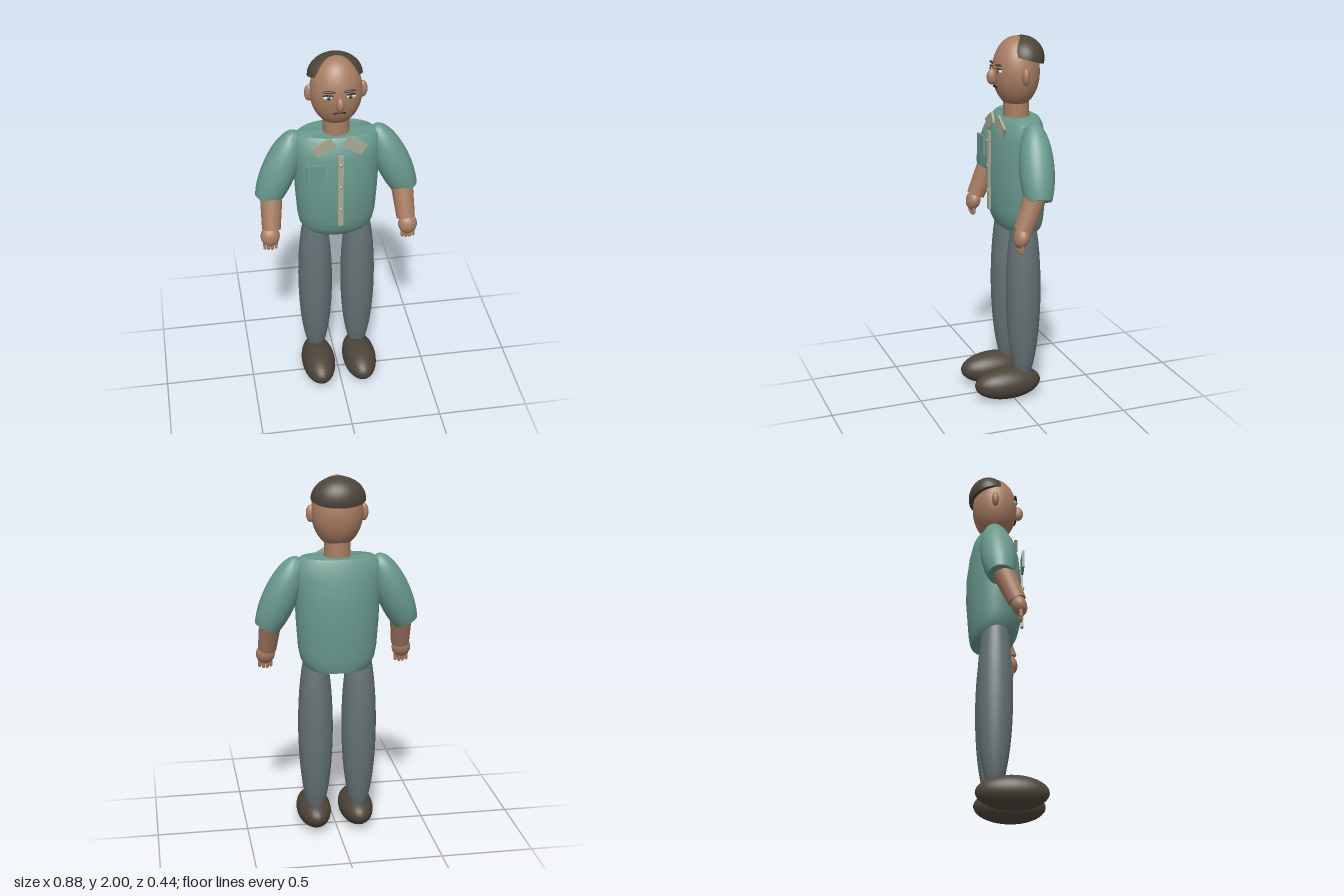
import * as THREE from 'three';
import { toCreasedNormals } from 'three/addons/utils/BufferGeometryUtils.js';

const V = (x, y, z) => new THREE.Vector3(x, y, z);

export function createModel() {
  const root = new THREE.Group();
  root.name = 'standingMan';

  const material = (name, color) => {
    const m = new THREE.MeshStandardMaterial({ color });
    m.name = name;
    return m;
  };
  const skin = material('skin', 0xa87d63);
  const shirt = material('shirtTeal', 0x69998d);
  const trim = material('shirtTrim', 0xa9a994);
  const trousers = material('trouserGrey', 0x647175);
  const dark = material('darkBrown', 0x4d4439);
  const white = material('eyeWhite', 0xd8d8d0);
  const black = material('nearBlack', 0x2a2522);
  const iris = material('irisBlue', 0x4f6468);

  const add = (name, geometry, mat, pos = V(0, 0, 0)) => {
    const mesh = new THREE.Mesh(geometry, mat);
    mesh.name = name;
    mesh.position.copy(pos);
    root.add(mesh);
    return mesh;
  };
  const ellipsoid = (name, mat, pos, rx, ry, rz, seg = 32) =>
    add(name, new THREE.SphereGeometry(1, seg, Math.round(seg * 0.7)).scale(rx, ry, rz), mat, pos);
  // Aligns a mesh's y axis with the direction from a to b
  const aim = (mesh, a, b) => {
    mesh.quaternion.setFromUnitVectors(V(0, 1, 0), b.clone().sub(a).normalize());
    return mesh;
  };
  const limb = (name, mat, a, b, ra, rb, seg = 24) =>
    aim(add(name, new THREE.CylinderGeometry(rb, ra, a.distanceTo(b), seg), mat, a.clone().lerp(b, 0.5)), a, b);

  // Shirt body: a cylinder whose rows follow [y, half width, back z, front z]
  const rows = [
    [1.575, 0.195, -0.172, 0.035], [1.55, 0.23, -0.182, 0.052], [1.47, 0.234, -0.2, 0.075],
    [1.35, 0.228, -0.214, 0.088], [1.22, 0.222, -0.215, 0.09], [1.08, 0.212, -0.204, 0.08],
    [1.02, 0.2, -0.199, 0.065], [0.98, 0.18, -0.193, 0.045], [0.96, 0.155, -0.187, 0.02],
  ];
  const torso = new THREE.CylinderGeometry(1, 1, 1, 48, rows.length - 1);
  const p = torso.attributes.position;
  for (let i = 0; i < p.count; i++) {
    const [y, w, back, front] = rows[Math.round((0.5 - p.getY(i)) * (rows.length - 1))];
    p.setXYZ(i, p.getX(i) * w, y, (back + front) / 2 + p.getZ(i) * (front - back) / 2);
  }
  add('shirtBody', toCreasedNormals(torso, 0.75), shirt);

  // Shirt details
  add('pocket', new THREE.BoxGeometry(0.096, 0.1, 0.012), shirt, V(-0.132, 1.403, 0.089));
  add('placket', new THREE.BoxGeometry(0.03, 0.43, 0.014), trim, V(0, 1.287, 0.093));
  for (const y of [1.45, 1.313, 1.175]) ellipsoid('button', trim, V(0, y, 0.1), 0.011, 0.011, 0.007, 16);

  // Neck and head
  add('neck', new THREE.CylinderGeometry(0.068, 0.072, 0.13, 32), skin, V(0, 1.605, -0.062));
  ellipsoid('head', skin, V(0, 1.81, -0.06), 0.137, 0.188, 0.125, 40);
  ellipsoid('nose', skin, V(0, 1.79, 0.073), 0.022, 0.042, 0.03, 24);

  // Hair: a closed dome tipped towards the back
  const dome = [new THREE.Vector2(0, 0)];
  for (let i = 0; i <= 14; i++) {
    const t = (i / 14) * Math.PI / 2;
    dome.push(new THREE.Vector2(i === 14 ? 0 : Math.cos(t), Math.sin(t)));
  }
  const hair = toCreasedNormals(new THREE.LatheGeometry(dome, 40), 0.8).scale(0.144, 0.117, 0.113);
  add('hair', hair, dark, V(0, 1.882, -0.095)).rotation.x = -0.28;

  // Mouth: a shallow arc
  const lips = new THREE.QuadraticBezierCurve3(V(-0.03, 1.732, 0.052), V(0, 1.748, 0.066), V(0.03, 1.732, 0.052));
  add('mouth', new THREE.TubeGeometry(lips, 12, 0.005, 8), black);

  // Sleeve outline: a long ellipsoid cut flat at the lower end
  const sleeveH = 0.25, sleeve = [new THREE.Vector2(0, -0.67 * sleeveH)];
  for (let i = 0; i <= 20; i++) {
    const t = -0.734 + (i / 20) * (Math.PI / 2 + 0.734);
    sleeve.push(new THREE.Vector2(i === 20 ? 0 : 0.092 * Math.cos(t), sleeveH * Math.sin(t)));
  }

  for (const s of [-1, 1]) {
    const side = s > 0 ? 'left' : 'right';
    const at = (x, y, z) => V(s * x, y, z);

    // Face and collar
    ellipsoid(side + 'Ear', skin, at(0.14, 1.803, -0.062), 0.025, 0.046, 0.02, 24);
    ellipsoid(side + 'Eye', white, at(0.056, 1.826, 0.052), 0.028, 0.012, 0.01, 20);
    ellipsoid(side + 'Iris', iris, at(0.056, 1.826, 0.059), 0.011, 0.011, 0.006, 16);
    ellipsoid(side + 'Pupil', black, at(0.056, 1.826, 0.063), 0.006, 0.006, 0.004, 12);
    const lid = ellipsoid(side + 'Eyelid', black, at(0.056, 1.838, 0.055), 0.03, 0.003, 0.009, 16);
    const brow = ellipsoid(side + 'Brow', dark, at(0.053, 1.858, 0.056), 0.034, 0.007, 0.008, 20);
    lid.rotation.y = brow.rotation.y = s * 0.12;
    brow.rotation.z = s * 0.06;
    const collar = add(side + 'Collar', new THREE.BoxGeometry(0.11, 0.064, 0.013), trim, at(0.082, 1.537, 0.055));
    collar.rotation.z = -s * 0.53;

    // Arm
    const shoulder = at(0.213, 1.58, -0.068), elbow = at(0.376, 1.2, -0.035);
    const sleeveGeo = toCreasedNormals(new THREE.LatheGeometry(sleeve, 32), 0.8);
    aim(add(side + 'Sleeve', sleeveGeo, shirt, at(0.31, 1.35, -0.057)), elbow, shoulder);
    const wrist = at(0.367, 1.05, 0.04);
    limb(side + 'Forearm', skin, at(0.351, 1.27, -0.05), wrist, 0.063, 0.05);
    const hand = ellipsoid(side + 'Hand', skin, at(0.376, 1.015, 0.052), 0.052, 0.056, 0.04, 24);
    hand.rotation.x = -0.25;
    for (let i = 0; i < 4; i++) {
      const x = 0.346 + i * 0.02;
      const tip = at(x + 0.001, i % 3 ? 0.938 : 0.945, 0.06);
      limb(side + 'Finger', skin, at(x, 0.995, 0.055), tip, 0.011, 0.009, 12);
      ellipsoid(side + 'Fingertip', skin, tip, 0.009, 0.009, 0.009, 12);
    }

    // Leg and shoe
    ellipsoid(side + 'TrouserLeg', trousers, at(0.12, 0.62, -0.06), 0.095, 0.53, 0.095, 36);
    ellipsoid(side + 'Shoe', dark, at(0.12, 0.09, 0.03), 0.095, 0.09, 0.19, 32);
  }
  return root;
}
